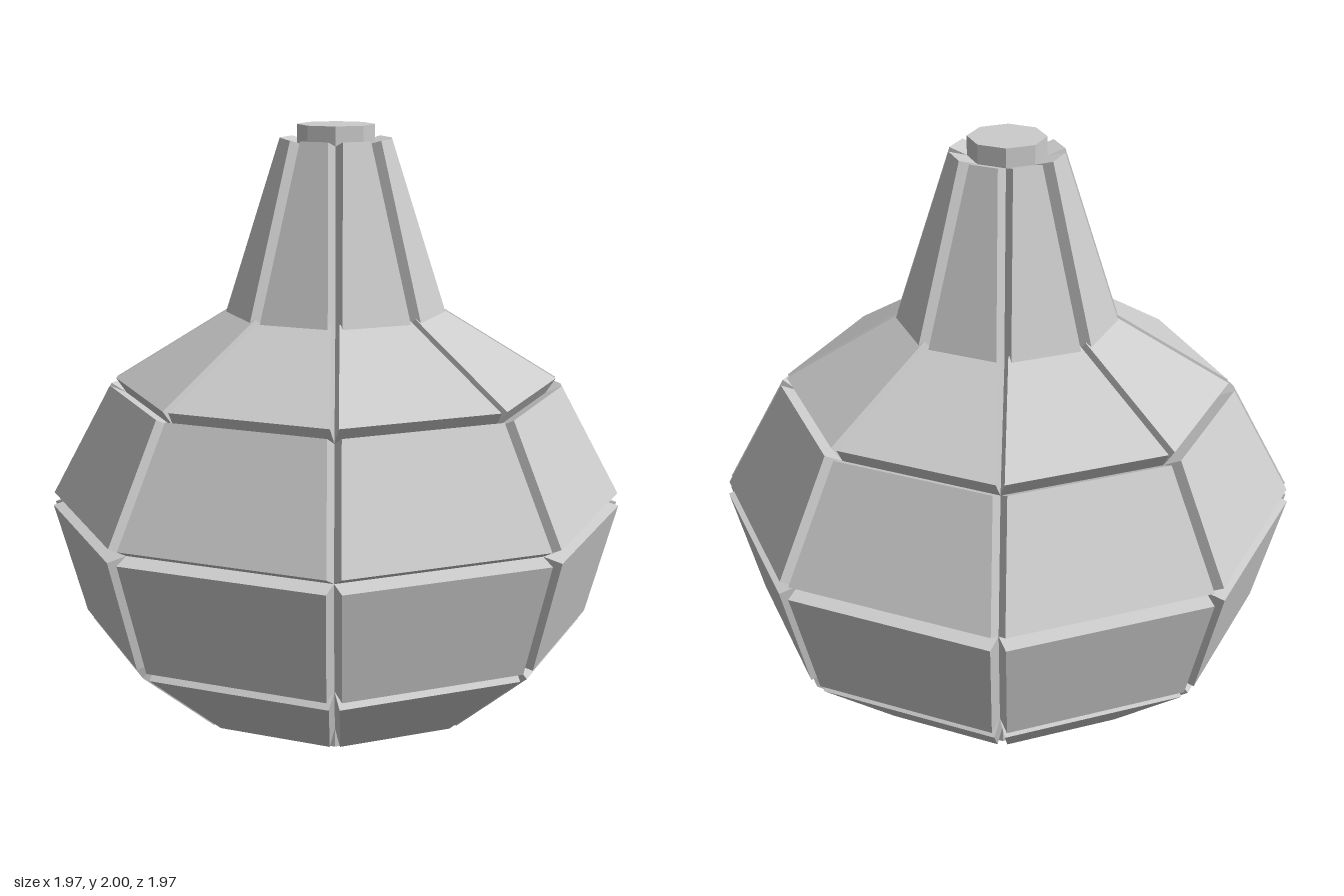
import * as THREE from 'three';

const SIDES = 8;
const DEPTH = 0.065; // how far each panel stands out from the core

// Core profile, bottom to top: [radius, height]
const PROFILE = [[0.52, 0.065], [0.819, 0.317], [0.926, 0.702], [0.722, 1.083], [0.322, 1.33], [0.13, 1.935]];
const ROW_NAMES = ['footPanel', 'lowerBellyPanel', 'upperBellyPanel', 'shoulderPanel', 'neckPanel'];

const material = new THREE.MeshStandardMaterial({ color: 0xcccccc, flatShading: true });

function ringPoint([radius, y], i) {
  const a = (i / SIDES) * Math.PI * 2;
  return new THREE.Vector3(radius * Math.sin(a), y, radius * Math.cos(a));
}

// Raise a flat polygon (counter-clockwise from outside) along its own normal
function raisedPanel(base, name) {
  const n = base.length;
  const normal = base[1].clone().sub(base[0]).cross(base[2].clone().sub(base[0])).normalize();
  const outer = base.map((p) => p.clone().addScaledVector(normal, DEPTH));
  const points = [];
  for (let i = 1; i < n - 1; i++) points.push(outer[0], outer[i], outer[i + 1]);
  for (let i = 0; i < n; i++) {
    const j = (i + 1) % n;
    points.push(base[i], base[j], outer[j], base[i], outer[j], outer[i]);
  }
  const geometry = new THREE.BufferGeometry().setFromPoints(points);
  geometry.computeVertexNormals();
  const mesh = new THREE.Mesh(geometry, material);
  mesh.name = name;
  return mesh;
}

export function createModel() {
  const model = new THREE.Group();
  model.name = 'panelledVase';

  // Rows of raised panels, separated by V-shaped grooves
  ROW_NAMES.forEach((name, row) => {
    const group = new THREE.Group();
    group.name = name + 'Row';
    const low = PROFILE[row], high = PROFILE[row + 1];
    for (let i = 0; i < SIDES; i++) {
      const corners = [ringPoint(low, i), ringPoint(low, i + 1), ringPoint(high, i + 1), ringPoint(high, i)];
      group.add(raisedPanel(corners, name));
    }
    model.add(group);
  });

  // Raised octagonal caps at the base and the top
  const ring = (p) => Array.from({ length: SIDES }, (_, i) => ringPoint(p, i));
  model.add(raisedPanel(ring(PROFILE[0]).reverse(), 'base'));
  model.add(raisedPanel(ring(PROFILE[PROFILE.length - 1]), 'topCap'));
  return model;
}
